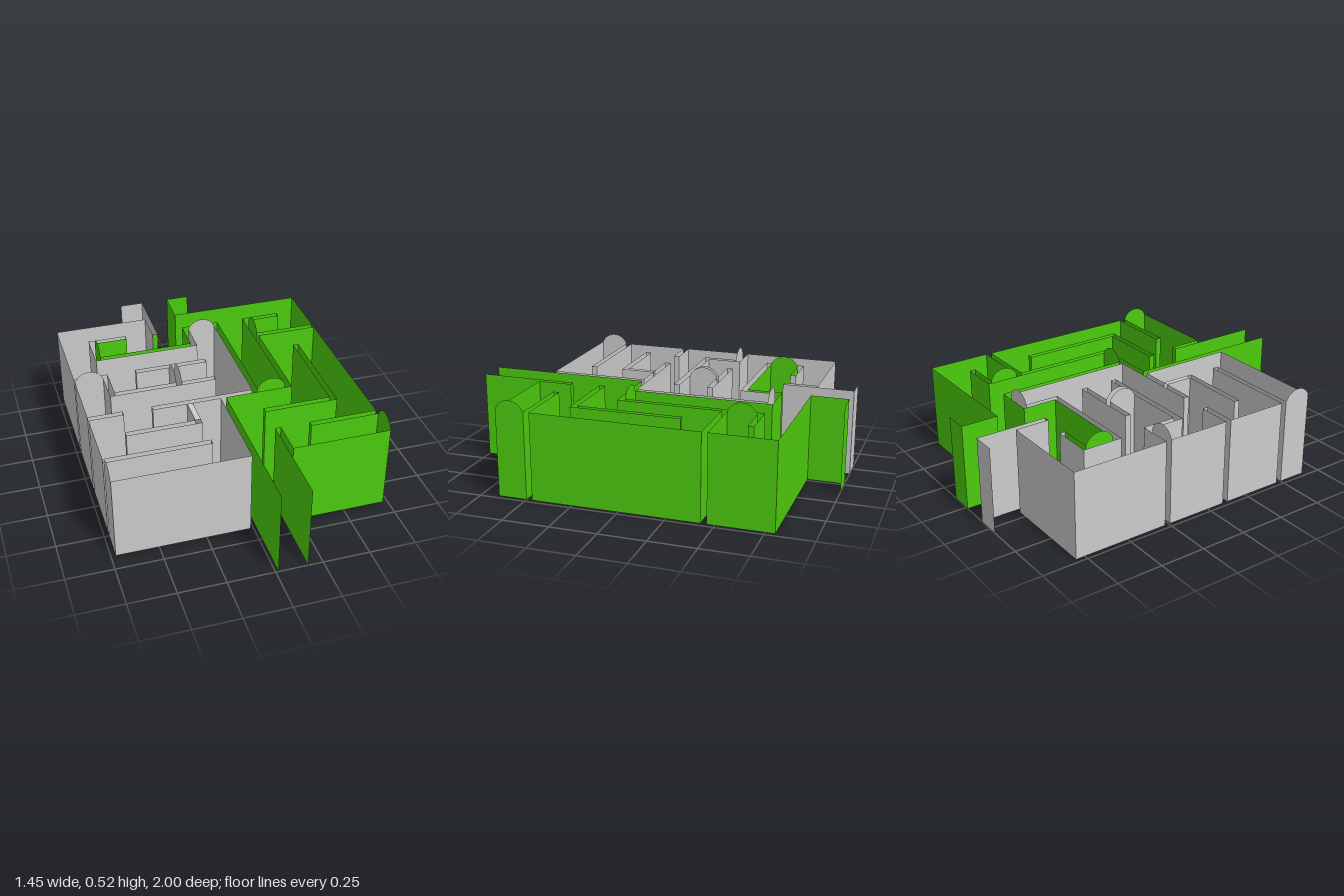
import * as THREE from 'three';

const H = 0.47, W = 0.155, N = 8;
const X = c => -0.725 + c * 0.185;     // west edge of a column
const Z = r => -0.8 + r * 0.1857;      // back edge of a row

// passages to the next column, per row
const EAST = ['1101111', '0110001', '1111001', '0101000', '1111000', '1100110', '1110111', '1110011'];
// passages to the next row, per row
const SOUTH = ['10110101', '10001100', '01001111', '10001111', '01000011', '10011001', '00011100', '00000000'];
// cells with green walls
const GREEN = ['00011111', '01110111', '00000111', '00000111', '00000111', '00001111', '00001111', '00001111'];

const at = (map, r, c) => (map[r] ? map[r][c] === '1' : false);

export function createModel() {
  const group = new THREE.Group();
  const grey = new THREE.MeshStandardMaterial({ color: 0xcccccc, side: THREE.DoubleSide });
  const green = new THREE.MeshStandardMaterial({ color: 0x4ccc0e, side: THREE.DoubleSide });

  // upright wall panel between two floor points, with an optional rounded top
  function panel(name, x1, z1, x2, z2, isGreen, arched = false) {
    const len = Math.hypot(x2 - x1, z2 - z1);
    const shape = new THREE.Shape();
    shape.moveTo(0, 0);
    shape.lineTo(len, 0);
    shape.lineTo(len, H);
    if (arched) {
      const rise = 0.053, half = len / 2;
      const rad = (half * half + rise * rise) / (2 * rise);
      const a = Math.asin(half / rad);
      shape.absarc(half, H + rise - rad, rad, Math.PI / 2 - a, Math.PI / 2 + a, false);
    }
    shape.lineTo(0, H);
    const mesh = new THREE.Mesh(new THREE.ShapeGeometry(shape, 12), isGreen ? green : grey);
    mesh.name = name;
    mesh.position.set(x1, 0, z1);
    mesh.rotation.y = -Math.atan2(z2 - z1, x2 - x1);
    group.add(mesh);
  }

  for (let r = 0; r < N; r++) {
    for (let c = 0; c < N; c++) {
      const x0 = X(c), x1 = x0 + W, z0 = Z(r), z1 = z0 + W;
      const g = at(GREEN, r, c);
      const exit = r === 0 && c === 3, entrance = r === 7 && c === 4;
      const open = {
        n: exit || at(SOUTH, r - 1, c), s: entrance || at(SOUTH, r, c),
        w: at(EAST, r, c - 1), e: at(EAST, r, c),
      };
      const count = Object.values(open).filter(Boolean).length;
      const dead = count === 1 && !(r === 5 && (c === 2 || c === 3));
      const name = 'mazeWall';

      // closed cell sides; the end of a dead end is rounded
      if (!open.n) panel(name, x0, z0, x1, z0, g, dead && open.s);
      if (!open.s) panel(name, x0, z1, x1, z1, g, dead && open.n);
      if (!open.w) panel(name, x0, z0, x0, z1, g && !exit, dead && open.e);
      if (!open.e) panel(name, x1, z0, x1, z1, g, dead && open.w);

      // passage sides across the wall thickness
      if (at(EAST, r, c)) {
        const both = g && at(GREEN, r, c + 1);
        panel('passageSide', x1, z0, X(c + 1), z0, both);
        panel('passageSide', x1, z1, X(c + 1), z1, both);
      }
      if (at(SOUTH, r, c)) {
        const both = g && at(GREEN, r + 1, c);
        panel('passageSide', x0, z1, x0, Z(r + 1), both && !exit);
        panel('passageSide', x1, z1, x1, Z(r + 1), both);
      }
    }
  }

  // entrance corridor at the front
  const front = Z(7) + W;
  panel('entranceWall', X(4), front, X(4), 1, true);
  panel('entranceWall', X(4) + W, front, X(4) + W, 1, true);

  // exit corridor at the back with outward flaps
  const xl = X(3), xr = X(3) + W;
  panel('exitWall', xl, -1, xl, Z(0), false);
  panel('exitWall', xr, -1, xr, Z(0), true);
  panel('exitFlap', xl - 0.13, -1, xl, -1, false);
  panel('exitFlap', xr, -1, xr + 0.13, -1, true);

  // cap over the blocked passage
  const gap = X(3) - X(2) - W;
  const cap = new THREE.Mesh(new THREE.PlaneGeometry(gap, W), grey);
  cap.name = 'wallCap';
  cap.rotation.x = -Math.PI / 2;
  cap.position.set(X(3) - gap / 2, H, Z(5) + W / 2);
  group.add(cap);

  return group;
}
